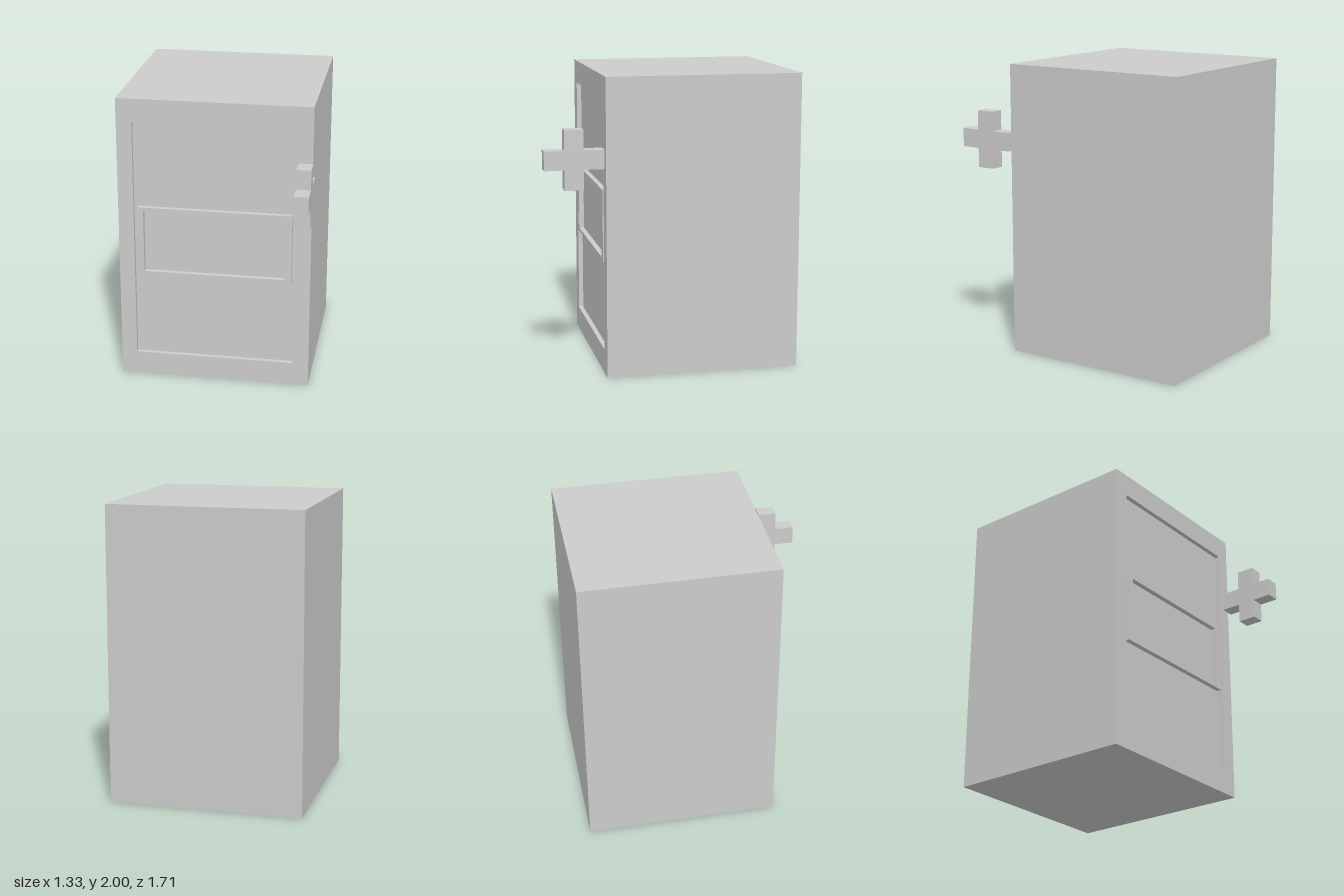
import * as THREE from 'three';

const material = new THREE.MeshStandardMaterial({ color: 0xcccccc, flatShading: true });

// Rectangle outline with tiny rounded corners
function rect(path, x0, y0, x1, y1, r = 0) {
  if (r === 0) {
    path.moveTo(x0, y0).lineTo(x1, y0).lineTo(x1, y1).lineTo(x0, y1).closePath();
    return path;
  }
  path.moveTo(x0 + r, y0).lineTo(x1 - r, y0).quadraticCurveTo(x1, y0, x1, y0 + r);
  path.lineTo(x1, y1 - r).quadraticCurveTo(x1, y1, x1 - r, y1);
  path.lineTo(x0 + r, y1).quadraticCurveTo(x0, y1, x0, y1 - r);
  path.lineTo(x0, y0 + r).quadraticCurveTo(x0, y0, x0 + r, y0);
  return path;
}

// Extrude a shape along z between two depths
function slab(name, shape, z0, z1) {
  const geometry = new THREE.ExtrudeGeometry(shape, { depth: z1 - z0, bevelEnabled: false, curveSegments: 2 });
  geometry.translate(0, 0, z0);
  const mesh = new THREE.Mesh(geometry, material);
  mesh.name = name;
  return mesh;
}

export function createModel() {
  const model = new THREE.Group();
  model.name = 'cabinet';
  const left = -0.665, right = 0.643, back = -0.857, front = 0.452, floor = 0.42;

  // Solid body up to the floor of the door recess
  model.add(slab('body', rect(new THREE.Shape(), left, 0, right, 2), back, floor));

  // Front rim around the recessed door
  const rim = rect(new THREE.Shape(), left, 0, right, 2);
  rim.holes.push(rect(new THREE.Path(), -0.56, 0.163, 0.54, 1.843, 0.008));
  model.add(slab('frontRim', rim, floor, front));

  // Raised panel frame across the middle of the door
  const frame = rect(new THREE.Shape(), -0.535, 0.762, 0.515, 1.245);
  frame.holes.push(rect(new THREE.Path(), -0.493, 0.783, 0.467, 1.223));
  model.add(slab('panelFrame', frame, floor, front + 0.003));

  // Cross-shaped handle, standing just clear of the front; outlined in (z, y)
  const z = [0.465, 0.6, 0.725, 0.857], y = [1.275, 1.408, 1.535, 1.668];
  const cross = new THREE.Shape([
    [0, 1], [1, 1], [1, 0], [2, 0], [2, 1], [3, 1],
    [3, 2], [2, 2], [2, 3], [1, 3], [1, 2], [0, 2],
  ].map(([i, j]) => new THREE.Vector2(-z[i], y[j])));
  const handle = slab('handle', cross, 0.565, 0.66);
  handle.rotation.y = Math.PI / 2; // extrusion runs along x
  model.add(handle);

  return model;
}
